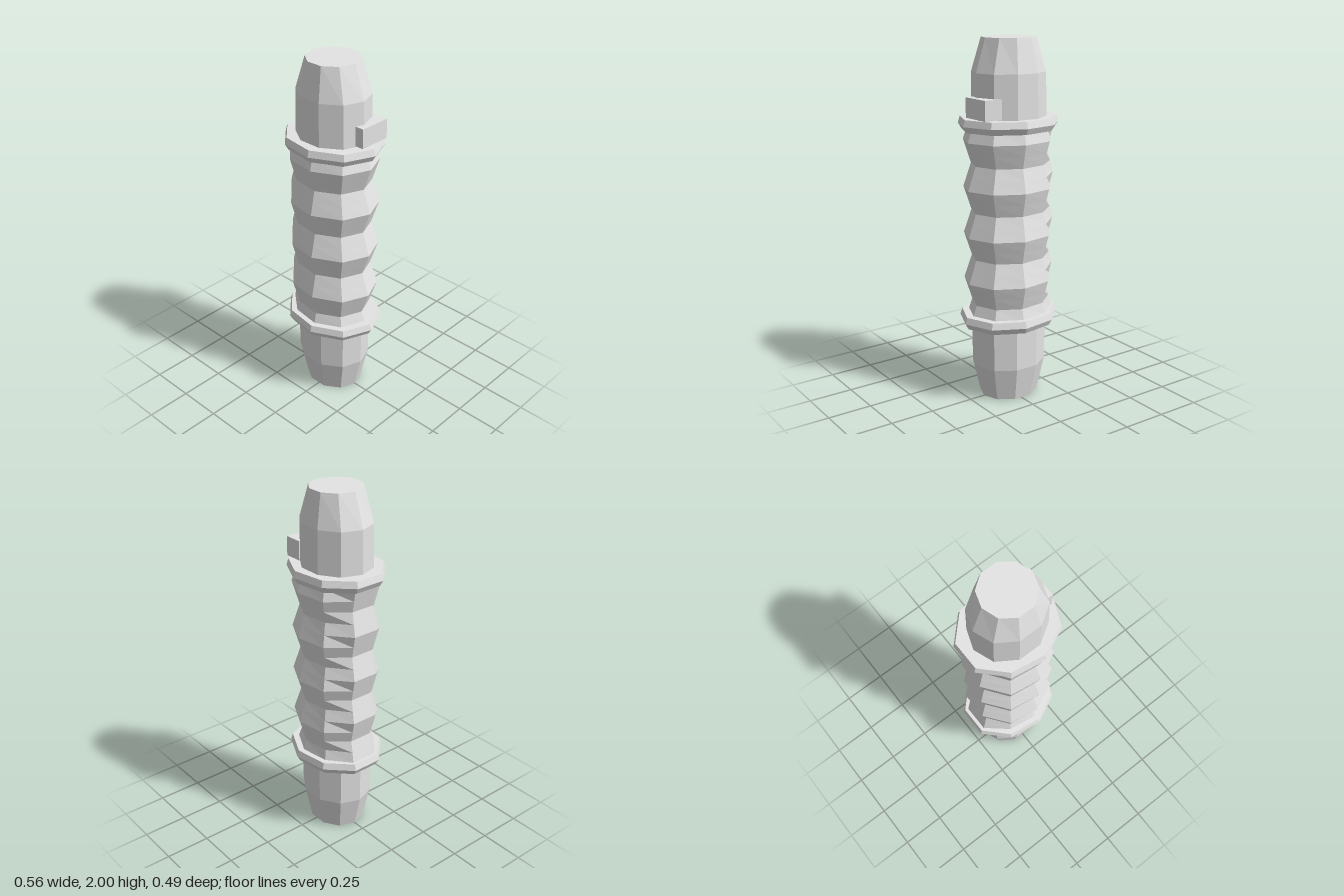
import * as THREE from 'three';

const CENTRE_X = -0.01;

// Closed faceted loft: each ring is { y, rx, rz } or a function of the angle giving the same
function loft(sides, rings) {
  const positions = [];
  const index = [];
  rings.forEach((ring) => {
    for (let j = 0; j < sides; j++) {
      const a = (j / sides) * Math.PI * 2;
      const { y, rx, rz } = typeof ring === 'function' ? ring(a) : ring;
      positions.push(CENTRE_X + Math.cos(a) * rx, y, Math.sin(a) * rz);
    }
  });
  const last = rings.length - 1;
  for (let i = 0; i < last; i++) {
    for (let j = 0; j < sides; j++) {
      const k = (j + 1) % sides;
      const a = i * sides + j;
      const b = i * sides + k;
      index.push(a, a + sides, b + sides, a, b + sides, b);
    }
  }
  // flat end caps
  for (let j = 1; j < sides - 1; j++) {
    const t = last * sides;
    index.push(0, j, j + 1, t, t + j + 1, t + j);
  }
  const geometry = new THREE.BufferGeometry();
  geometry.setAttribute('position', new THREE.Float32BufferAttribute(positions, 3));
  geometry.setIndex(index);
  geometry.computeVertexNormals();
  return geometry;
}

const ringsFrom = (profile) => profile.map(([y, rx, rz]) => ({ y, rx, rz }));

export function createModel() {
  const group = new THREE.Group();
  const grey = new THREE.MeshStandardMaterial({ color: 0xe4e4e4, flatShading: true });
  grey.name = 'lightGrey';

  const add = (name, geometry) => {
    const mesh = new THREE.Mesh(geometry, grey);
    mesh.name = name;
    group.add(mesh);
    return mesh;
  };

  // Ten-sided tapered ends
  add('lowerEnd', loft(10, ringsFrom([
    [0, 0.169, 0.147], [0.19, 0.213, 0.186], [0.46, 0.214, 0.187],
  ])));
  add('upperEnd', loft(10, ringsFrom([
    [1.54, 0.211, 0.188], [1.82, 0.206, 0.184], [2, 0.146, 0.146],
  ])));

  // Nine-sided bevelled collars
  for (const [name, y] of [['lowerCollar', 0.424], ['upperCollar', 1.515]]) {
    add(name, loft(9, ringsFrom([
      [y, 0.268, 0.23], [y + 0.033, 0.288, 0.248], [y + 0.069, 0.277, 0.238],
    ])));
  }

  // Rippled grip: level ripples all round, a quarter wave higher on the two right-hand corners
  const top = 1.525;
  const step = 0.065;
  const grip = [];
  for (let i = 16; i >= 0; i--) {
    const y = top - i * step;
    grip.push((a) => {
      const side = (1 + Math.cos(a)) / 2;
      const shift = Math.cos(a) < -0.9 ? 0 : 1;
      const wave = Math.cos(((i - shift) * Math.PI) / 2);
      const r = 0.242 - 0.005 * side + (0.017 + 0.006 * side) * wave;
      return { y, rx: r, rz: r * 0.87 };
    });
  }
  add('grip', loft(9, grip));

  // Small block on the side of the upper end
  add('sideButton', new THREE.BoxGeometry(0.104, 0.107, 0.182)).position.set(0.18, 1.642, -0.046);

  return group;
}
